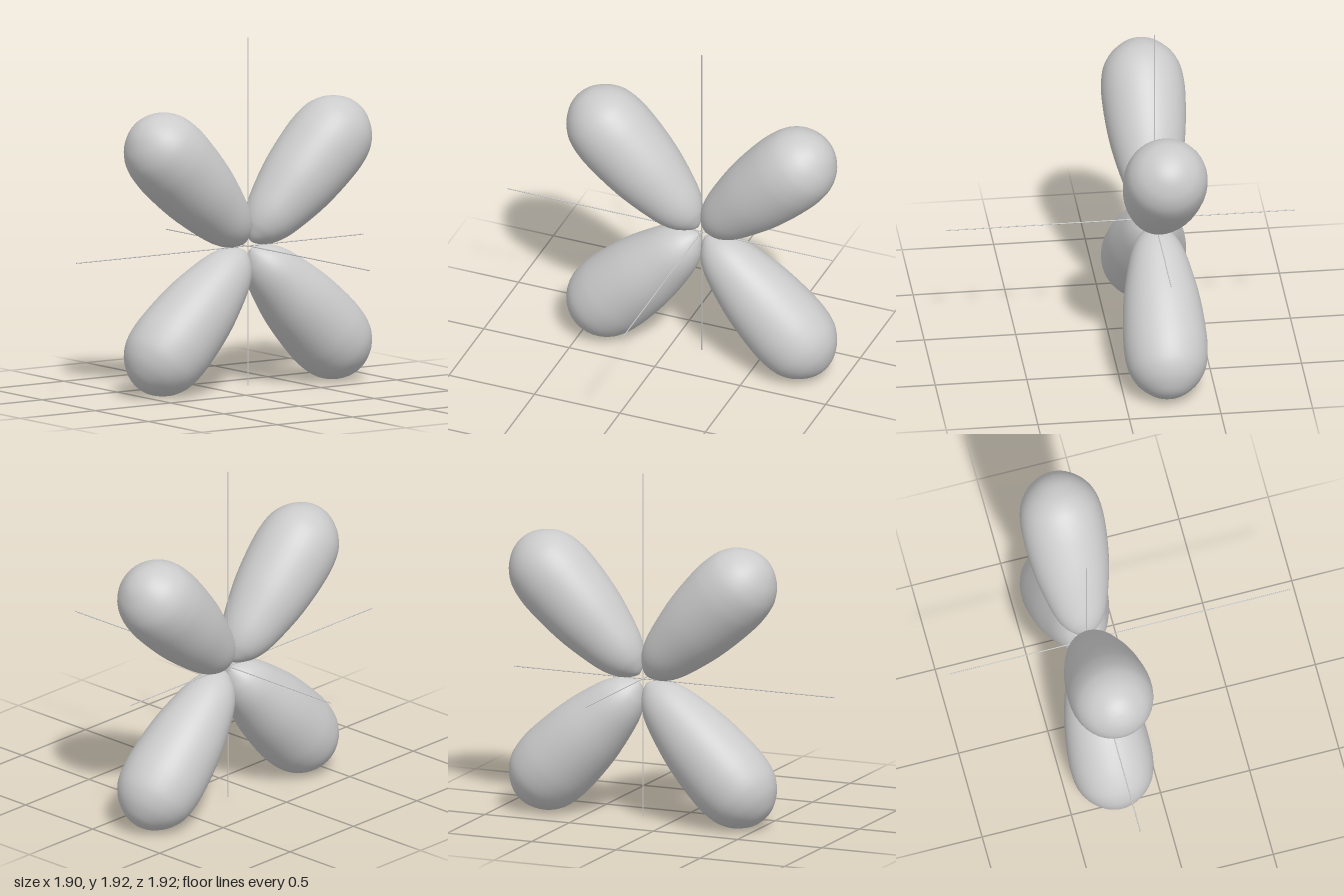
import * as THREE from 'three';

const CENTRE = [-0.235, 0.785, -0.18];
const material = new THREE.MeshStandardMaterial({ color: 0xcccccc });

// Teardrop outline: [radius, distance from the centre]
const PROFILE = [
  [0, 0.03], [0.035, 0.045], [0.072, 0.075], [0.104, 0.11], [0.137, 0.17],
  [0.166, 0.26], [0.202, 0.42], [0.22, 0.56], [0.228, 0.69], [0.226, 0.76],
  [0.218, 0.82], [0.203, 0.87], [0.174, 0.92], [0.138, 0.958],
  [0.09, 0.992], [0.045, 1.009], [0, 1.015],
];

function lobeGeometry() {
  const curve = new THREE.SplineCurve(PROFILE.map(([r, d]) => new THREE.Vector2(r, d)));
  const points = curve.getPoints(48);
  points.forEach((p) => { p.x = Math.max(0, p.x); });
  return new THREE.LatheGeometry(points, 40);
}

// Thin rod along +y, longer on its positive side
function axisGeometry() {
  const from = -0.765, to = 1.14;
  return new THREE.CylinderGeometry(0.003, 0.003, to - from, 8).translate(0, (from + to) / 2, 0);
}

export function createModel() {
  const model = new THREE.Group();
  model.name = 'cloverOrbital';
  const body = new THREE.Group();
  body.name = 'lobesAndAxes';
  body.position.set(...CENTRE);
  model.add(body);

  const add = (name, geometry, rx = 0, rz = 0) => {
    const mesh = new THREE.Mesh(geometry, material);
    mesh.name = name;
    mesh.rotation.set(rx, 0, rz);
    body.add(mesh);
  };

  // Four lobes on the diagonals of the upright front-to-back plane
  const lobe = lobeGeometry();
  ['upperFrontLobe', 'lowerFrontLobe', 'lowerBackLobe', 'upperBackLobe']
    .forEach((name, i) => add(name, lobe, Math.PI / 4 + i * Math.PI / 2));

  // Three coordinate axes
  const axis = axisGeometry();
  add('verticalAxis', axis);
  add('sidewaysAxis', axis, 0, -Math.PI / 2);
  add('forwardAxis', axis, Math.PI / 2);

  return model;
}
